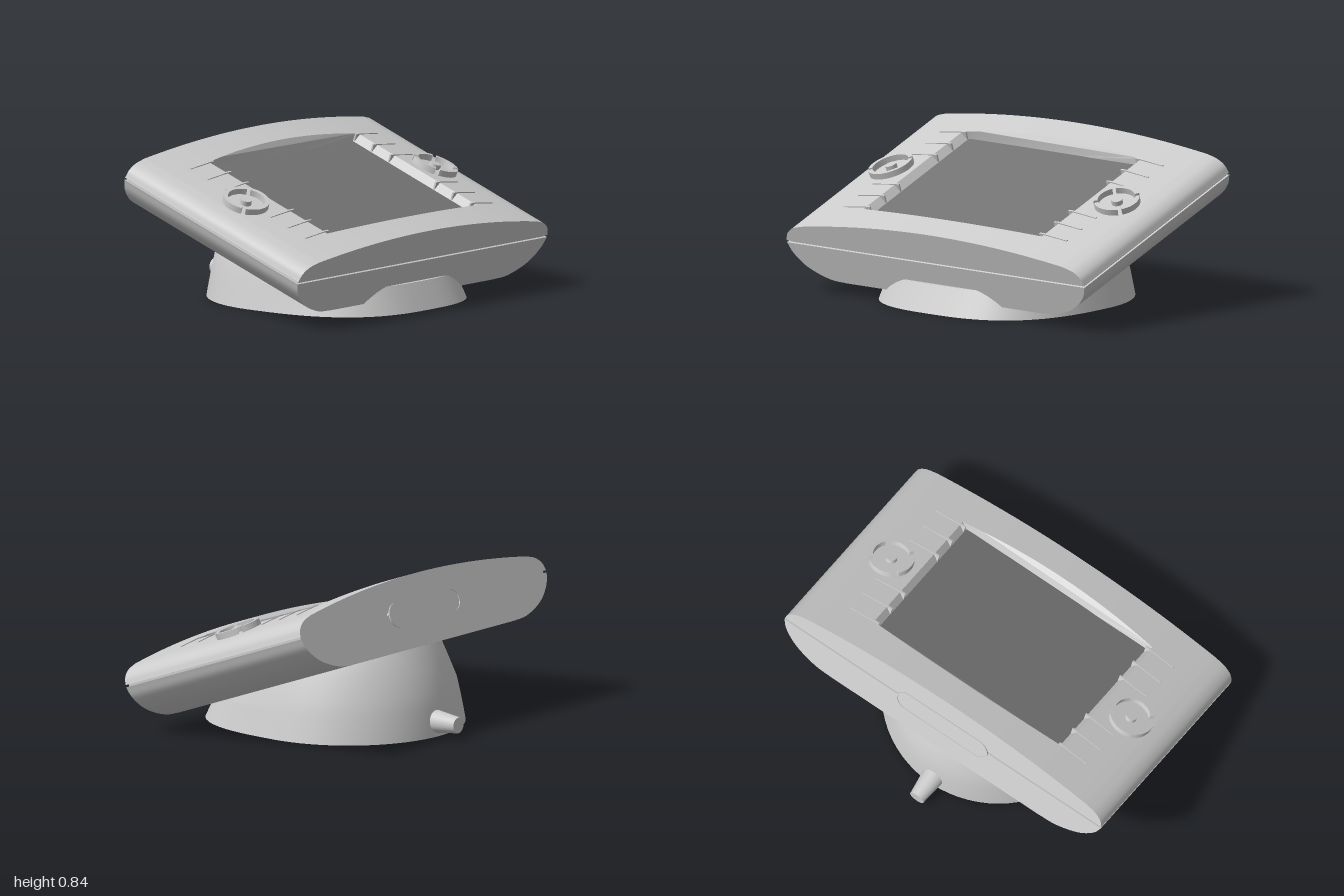
import * as THREE from 'three';
import { toCreasedNormals } from 'three/addons/utils/BufferGeometryUtils.js';

const grey = new THREE.MeshStandardMaterial({ color: 0xcccccc });
const dark = new THREE.MeshStandardMaterial({ color: 0x737373 });

const HALF = 0.623;                                   // half length of the tilted case
const SEAM = 0.203, SCREEN = 0.302, OPEN = 0.425;     // seam height, screen height, half opening
const crown = x => 0.373 - 0.032 * (x / 0.6) ** 2;    // arched top surface

function add(parent, name, geo, mat = grey) {
  const mesh = new THREE.Mesh(geo, mat);
  mesh.name = name;
  parent.add(mesh);
  return mesh;
}

// Extrude a section (x, y) along z, from z0 to z1
function extrude(points, z0, z1) {
  const shape = points instanceof THREE.Shape ? points
    : new THREE.Shape(points.map(p => new THREE.Vector2(p[0], p[1])));
  const geo = new THREE.ExtrudeGeometry(shape, { depth: z1 - z0, bevelEnabled: false, curveSegments: 16 });
  return geo.translate(0, 0, z0);
}

// Points on the crown from x0 to x1
function crownPoints(x0, x1, n) {
  return Array.from({ length: n + 1 }, (_, i) => {
    const x = x0 + (x1 - x0) * i / n;
    return [x, crown(x)];
  });
}

// Foot: round at the back, squarer at the front, tapering up into the case
function footGeometry() {
  // height, half width, front reach, back reach
  const levels = [
    [0, 0.605, 0.72, 0.605], [0.07, 0.587, 0.685, 0.597], [0.14, 0.57, 0.65, 0.586],
    [0.14, 0.57, 0.55, 0.586], [0.23, 0.545, 0.5, 0.57], [0.34, 0.5, 0.3, 0.527],
    [0.46, 0.45, 0.1, 0.475], [0.5, 0.4, 0, 0.45]];
  const N = 72, pos = [], idx = [];
  for (const [y, rx, front, back] of levels) {
    for (let i = 0; i < N; i++) {
      const a = i / N * Math.PI * 2, s = Math.sin(a), c = Math.cos(a);
      const e = c > 0 ? 2 / 2.8 : 1;
      pos.push(rx * Math.sign(s) * Math.abs(s) ** e, y, c > 0 ? front * c ** e : back * c);
    }
  }
  for (let l = 0; l < levels.length - 1; l++) {
    for (let i = 0; i < N; i++) {
      const a = l * N + i, b = l * N + (i + 1) % N;
      idx.push(a, b, b + N, a, b + N, a + N);
    }
  }
  const centre = pos.length / 3;
  pos.push(0, 0, 0);
  for (let i = 0; i < N; i++) idx.push(centre, (i + 1) % N, i);
  const geo = new THREE.BufferGeometry();
  geo.setAttribute('position', new THREE.Float32BufferAttribute(pos, 3));
  geo.setIndex(idx);
  return toCreasedNormals(geo, 0.55);
}

// Control pad: ring split into arcs around a small knob
function controlPad(name, count, turn) {
  const pad = new THREE.Group();
  pad.name = name;
  const step = Math.PI * 2 / count, gap = 0.09;
  for (let i = 0; i < count; i++) {
    const a = turn + i * step + gap, b = turn + (i + 1) * step - gap;
    const shape = new THREE.Shape();
    shape.absarc(0, 0, 0.121, a, b, false);
    shape.absarc(0, 0, 0.098, b, a, true);
    const geo = extrude(shape, -0.03, 0.032).rotateX(-Math.PI / 2);
    add(pad, 'padArc', toCreasedNormals(geo, 0.5));
  }
  const knob = add(pad, 'padKnob', new THREE.CylinderGeometry(0.03, 0.03, 0.06, 24));
  knob.position.y = -0.004;
  return pad;
}

export function createModel() {
  const model = new THREE.Group();
  model.name = 'deskConsole';

  add(model, 'foot', footGeometry());

  // Cable strain relief at the back
  const cable = add(model, 'cableStub', new THREE.CylinderGeometry(0.042, 0.064, 0.18, 28));
  cable.rotation.x = -Math.PI / 2;
  cable.position.set(0, 0.076, -0.645);

  // Tilted case
  const body = new THREE.Group();
  body.name = 'case';
  body.rotation.x = THREE.MathUtils.degToRad(20);
  body.position.set(0, 0.2775, 0.015);
  model.add(body);

  // Lower shell with round flanks
  const flank = new THREE.CatmullRomCurve3([[0.65, 0], [0.76, 0.009], [0.9, 0.066], [0.975, 0.14], [1, SEAM - 0.006]]
    .map(p => new THREE.Vector3(p[0], p[1], 0))).getPoints(20).map(p => [Math.min(p.x, 1), Math.max(p.y, 0)]);
  const lower = [...flank, ...flank.map(p => [-p[0], p[1]]).reverse()];
  add(body, 'lowerShell', toCreasedNormals(extrude(lower, -HALF, HALF), 0.5));

  // Recessed seam between the shells
  const seam = add(body, 'seam', new THREE.BoxGeometry(1.974, 0.03, HALF * 2 - 0.024));
  seam.position.y = SEAM;

  // Upper shell sides, with a sloped edge towards the screen
  const base = SEAM + 0.006;
  const shoulder = new THREE.CatmullRomCurve3([[0.88, crown(0.88)], [0.945, 0.283], [0.984, 0.25], [1, base]]
    .map(p => new THREE.Vector3(p[0], p[1], 0))).getPoints(14).map(p => [Math.min(p.x, 1), p.y]);
  const side = [[0.57, base], [0.57, SCREEN], ...crownPoints(0.6, 0.86, 8), ...shoulder];
  for (const s of [1, -1]) {
    const pts = side.map(p => [s * p[0], p[1]]);
    add(body, s > 0 ? 'leftUpperShell' : 'rightUpperShell', toCreasedNormals(extrude(pts, -HALF, HALF), 0.5));
  }

  // Upper shell bars before and behind the screen; the inner wall leans back near the top
  for (const s of [1, -1]) {
    const geo = extrude([[-0.6, base], ...crownPoints(-0.6, 0.6, 32), [0.6, base]], OPEN, HALF);
    const p = geo.attributes.position;
    for (let i = 0; i < p.count; i++) {
      if (p.getZ(i) < OPEN + 0.01) p.setZ(i, OPEN + Math.max(0, p.getY(i) - crown(0.6)));
    }
    if (s < 0) geo.rotateY(Math.PI);
    add(body, s > 0 ? 'frontBar' : 'rearBar', toCreasedNormals(geo, 0.5));
  }

  // Screen
  const screen = add(body, 'screen', new THREE.BoxGeometry(1.15, SCREEN - base, OPEN * 2 + 0.01), dark);
  screen.position.y = (SCREEN + base) / 2;

  // Marker ribs beside the screen and control pads
  for (const s of [1, -1]) {
    for (const w of [-0.42, -0.295, -0.17, 0.155, 0.28, 0.405]) {
      const rib = extrude([[0.57, 0.305], [0.57, 0.347], [0.6, 0.347], [0.75, 0.328], [0.75, 0.305]]
        .map(p => [s * p[0], p[1]]), w - 0.005, w + 0.005);
      add(body, 'markerRib', rib);
    }
    const pad = controlPad(s > 0 ? 'leftControlPad' : 'rightControlPad', s > 0 ? 4 : 2, s > 0 ? Math.PI / 4 : Math.PI / 5);
    pad.position.set(s * 0.757, crown(0.757), -0.015);
    pad.rotation.z = -s * 0.13;
    body.add(pad);
  }

  // Rounded connector cover on the back, with a raised rim
  const stadium = (w, r) => {
    const shape = new THREE.Shape();
    shape.absarc(w, 0, r, -Math.PI / 2, Math.PI / 2, false);
    shape.absarc(-w, 0, r, Math.PI / 2, Math.PI * 1.5, false);
    return shape;
  };
  const rim = stadium(0.222, 0.064);
  rim.holes.push(stadium(0.222, 0.055));
  for (const [name, shape, out] of [['coverRim', rim, 0.006], ['connectorCover', stadium(0.222, 0.055), 0.002]]) {
    const cover = add(body, name, toCreasedNormals(extrude(shape, -HALF - out, -HALF + 0.03), 0.5));
    cover.position.y = 0.187;
  }

  return model;
}
